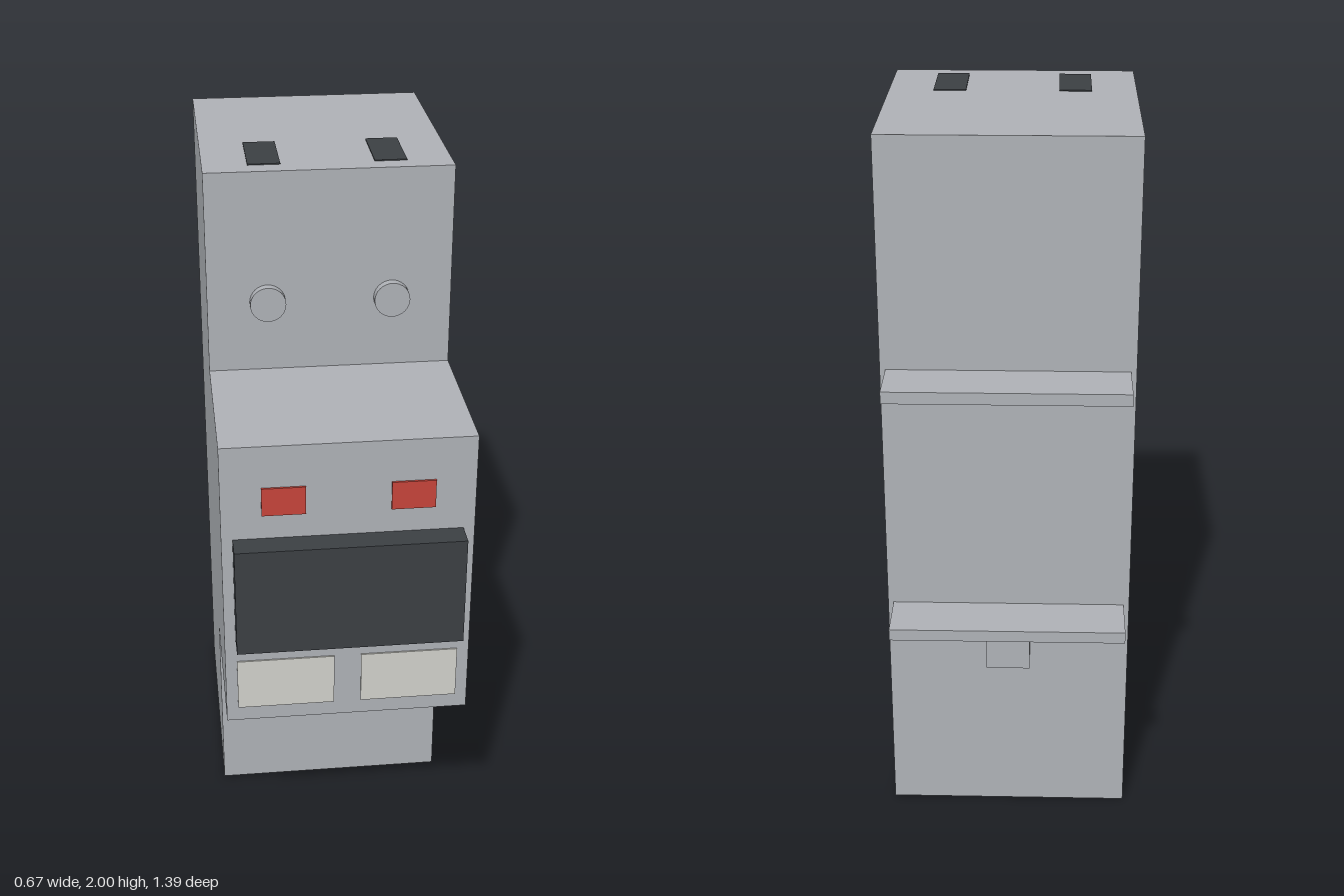
import * as THREE from 'three';

const mat = (name, color) => {
  const m = new THREE.MeshStandardMaterial({ color });
  m.name = name;
  return m;
};

export function createModel() {
  const group = new THREE.Group();
  const grey = mat('housing grey', 0xb0b3b8);
  const dark = mat('dark grey', 0x3c4044);
  const red = mat('indicator red', 0xc8453b);
  const pale = mat('label white', 0xd2d2cc);

  const add = (name, geometry, material, x = 0, y = 0, z = 0) => {
    const mesh = new THREE.Mesh(geometry, material);
    mesh.name = name;
    mesh.position.set(x, y, z);
    group.add(mesh);
    return mesh;
  };
  // box given by its limits on each axis
  const box = (name, material, [x0, x1], [y0, y1], [z0, z1]) =>
    add(name, new THREE.BoxGeometry(x1 - x0, y1 - y0, z1 - z0), material,
      (x0 + x1) / 2, (y0 + y1) / 2, (z0 + z1) / 2);

  // stepped housing: side profile (z, y) extruded across the width
  const width = 0.67;
  const profile = new THREE.Shape([
    [-0.55, 0.003], [0.16, 0.003], [0.16, 0.578], [0.625, 0.578],
    [0.625, 1.43], [0.16, 1.43], [0.16, 1.997], [-0.55, 1.997],
  ].map(([z, y]) => new THREE.Vector2(z, y)));
  const housing = new THREE.ExtrudeGeometry(profile, { depth: width, bevelEnabled: false });
  housing.translate(0, 0, -width / 2);
  housing.rotateY(-Math.PI / 2);
  housing.scale(1, 1, 1);
  add('housing', housing, grey);

  // switch handle
  box('switchHandle', dark, [-0.305, 0.305], [0.846, 1.16], [0.625, 0.695]);

  // per-pole details
  for (const side of [-1, 1]) {
    const x = side * 0.17;
    box('indicatorWindow', red, [x - 0.058, x + 0.058], [1.23, 1.31], [0.624, 0.631]);
    box('labelPlate', pale, [x - 0.133, x + 0.133], [0.622, 0.775], [0.624, 0.629]);
    for (const y of [0.375, 1.63]) {
      const screw = new THREE.CylinderGeometry(0.049, 0.049, 0.025, 32);
      screw.rotateX(Math.PI / 2);
      add('terminalScrew', screw, grey, x, y, 0.1725);
    }
    for (const y of [0, 1.995]) {
      box('cableSlot', dark, [x - 0.044, x + 0.044], [y, y + 0.005], [-0.09, 0.105]);
    }
  }

  // rear mounting rails and release clip
  for (const y of [0.636, 1.34]) {
    box('mountingRail', grey, [-0.32, 0.32], [y, y + 0.033], [-0.695, -0.55]);
  }
  box('railClip', grey, [-0.06, 0.06], [0.493, 0.636], [-0.607, -0.55]);

  return group;
}
